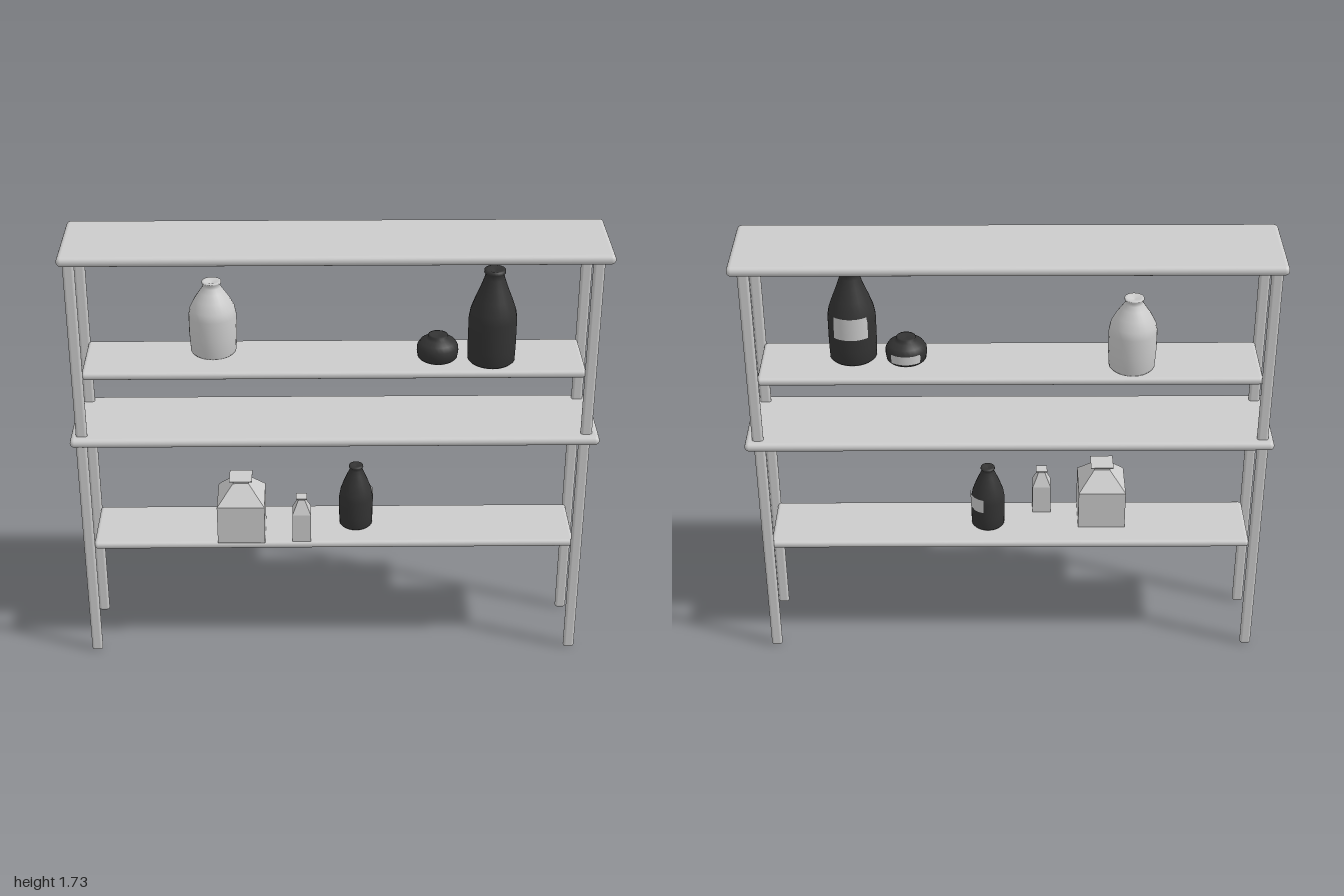
import * as THREE from 'three';
import { RoundedBoxGeometry } from 'three/addons/geometries/RoundedBoxGeometry.js';

export function createModel() {
  const model = new THREE.Group();
  const grey = new THREE.MeshStandardMaterial({ color: 0xcccccc });
  const flatGrey = new THREE.MeshStandardMaterial({ color: 0xcccccc, flatShading: true });
  const dark = new THREE.MeshStandardMaterial({ color: 0x333333 });
  const labelGrey = new THREE.MeshStandardMaterial({ color: 0xcccccc, side: THREE.DoubleSide });

  function add(parent, name, geometry, material, x, y, z) {
    const mesh = new THREE.Mesh(geometry, material);
    mesh.name = name;
    mesh.position.set(x, y, z);
    parent.add(mesh);
    return mesh;
  }

  // Box with rounded edges, given by its bottom and top heights
  function slab(name, x, z, w, d, bottom, top, radius) {
    add(model, name, new RoundedBoxGeometry(w, top - bottom, d, 4, radius), grey, x, (bottom + top) / 2, z);
  }

  // Wide boards on top and in the middle
  slab('topBoard', 0.002, 0, 1.996, 0.36, 1.693, 1.73, 0.018);
  slab('middleBoard', -0.003, 0, 1.994, 0.36, 0.952, 0.988, 0.018);

  // Narrow shelves held between the posts
  slab('upperShelf', -0.006, 0, 1.872, 0.28, 1.22, 1.25, 0.014);
  slab('lowerShelf', -0.006, 0, 1.872, 0.28, 0.476, 0.506, 0.014);

  // Flattened posts with rounded ends, lower and upper set
  for (const z of [0.138, -0.141]) {
    slab('lowerPost', -0.96, z, 0.043, 0.023, 0, 0.965, 0.011);
    slab('lowerPost', 0.94, z, 0.043, 0.023, 0, 0.965, 0.011);
    slab('upperPost', -0.957, z, 0.043, 0.023, 0.975, 1.7, 0.011);
    slab('upperPost', 0.945, z, 0.043, 0.023, 0.975, 1.7, 0.011);
  }

  // Vessel turned from [radius, height] points; 4 sides make a square one
  function vessel(name, profile, sides, material, x, y, z) {
    const group = new THREE.Group();
    group.name = name;
    group.position.set(x, y, z);
    model.add(group);
    const square = sides === 4;
    const points = profile.map(([r, h]) => new THREE.Vector2(square ? r * Math.SQRT2 : r, h));
    const geometry = new THREE.LatheGeometry(points, sides, square ? Math.PI / 4 : 0);
    add(group, name + 'Body', geometry, material, 0, 0, 0);
    return group;
  }

  // Curved label wrapped on a vessel, centred on the given angle from the front
  function label(parent, rTop, rBottom, bottom, top, degrees) {
    const arc = THREE.MathUtils.degToRad(86);
    const start = THREE.MathUtils.degToRad(degrees) - arc / 2;
    const geometry = new THREE.CylinderGeometry(rTop, rBottom, top - bottom, 12, 1, true, start, arc);
    add(parent, 'label', geometry, labelGrey, 0, (bottom + top) / 2, 0);
  }

  // Round vessels on the upper shelf
  vessel('paleBottle', [
    [0, 0], [0.078, 0], [0.086, 0.01], [0.09, 0.08], [0.09, 0.155], [0.084, 0.185], [0.066, 0.22],
    [0.046, 0.25], [0.034, 0.268], [0.032, 0.278], [0.037, 0.285], [0.036, 0.29], [0.026, 0.29], [0, 0.282],
  ], 24, grey, -0.459, 1.25, -0.045);

  const tall = vessel('tallDarkBottle', [
    [0, 0], [0.08, 0], [0.088, 0.008], [0.09, 0.06], [0.09, 0.175], [0.084, 0.21], [0.068, 0.255],
    [0.05, 0.3], [0.038, 0.335], [0.034, 0.35], [0.04, 0.358], [0.039, 0.369], [0.028, 0.369], [0, 0.36],
  ], 24, dark, 0.583, 1.25, 0.037);
  label(tall, 0.0925, 0.0925, 0.115, 0.205, 180);

  const bowl = vessel('lowDarkJar', [
    [0, 0], [0.066, 0], [0.074, 0.008], [0.078, 0.03], [0.077, 0.05], [0.066, 0.068],
    [0.045, 0.08], [0.035, 0.086], [0.037, 0.094], [0.03, 0.096], [0, 0.09],
  ], 24, dark, 0.383, 1.25, 0.015);
  label(bowl, 0.08, 0.08, 0.014, 0.05, 180);

  // Round bottle on the lower shelf
  const small = vessel('smallDarkBottle', [
    [0, 0], [0.058, 0], [0.064, 0.007], [0.066, 0.05], [0.066, 0.125], [0.061, 0.155], [0.047, 0.195],
    [0.033, 0.228], [0.025, 0.246], [0.024, 0.254], [0.028, 0.259], [0.027, 0.265], [0.019, 0.265], [0, 0.26],
  ], 24, dark, 0.081, 0.505, -0.004);
  label(small, 0.068, 0.068, 0.09, 0.151, 123);

  // Square bottles with flared lips on the lower shelf
  vessel('wideSquareBottle', [
    [0, 0], [0.092, 0], [0.092, 0.16], [0.03, 0.232], [0.03, 0.237], [0.044, 0.246], [0.044, 0.249], [0, 0.249],
  ], 4, flatGrey, -0.367, 0.506, 0.05);
  vessel('slimSquareBottle', [
    [0, 0], [0.036, 0], [0.036, 0.12], [0.014, 0.172], [0.014, 0.177], [0.022, 0.184], [0.022, 0.187], [0, 0.187],
  ], 4, flatGrey, -0.132, 0.505, 0.098);

  return model;
}
